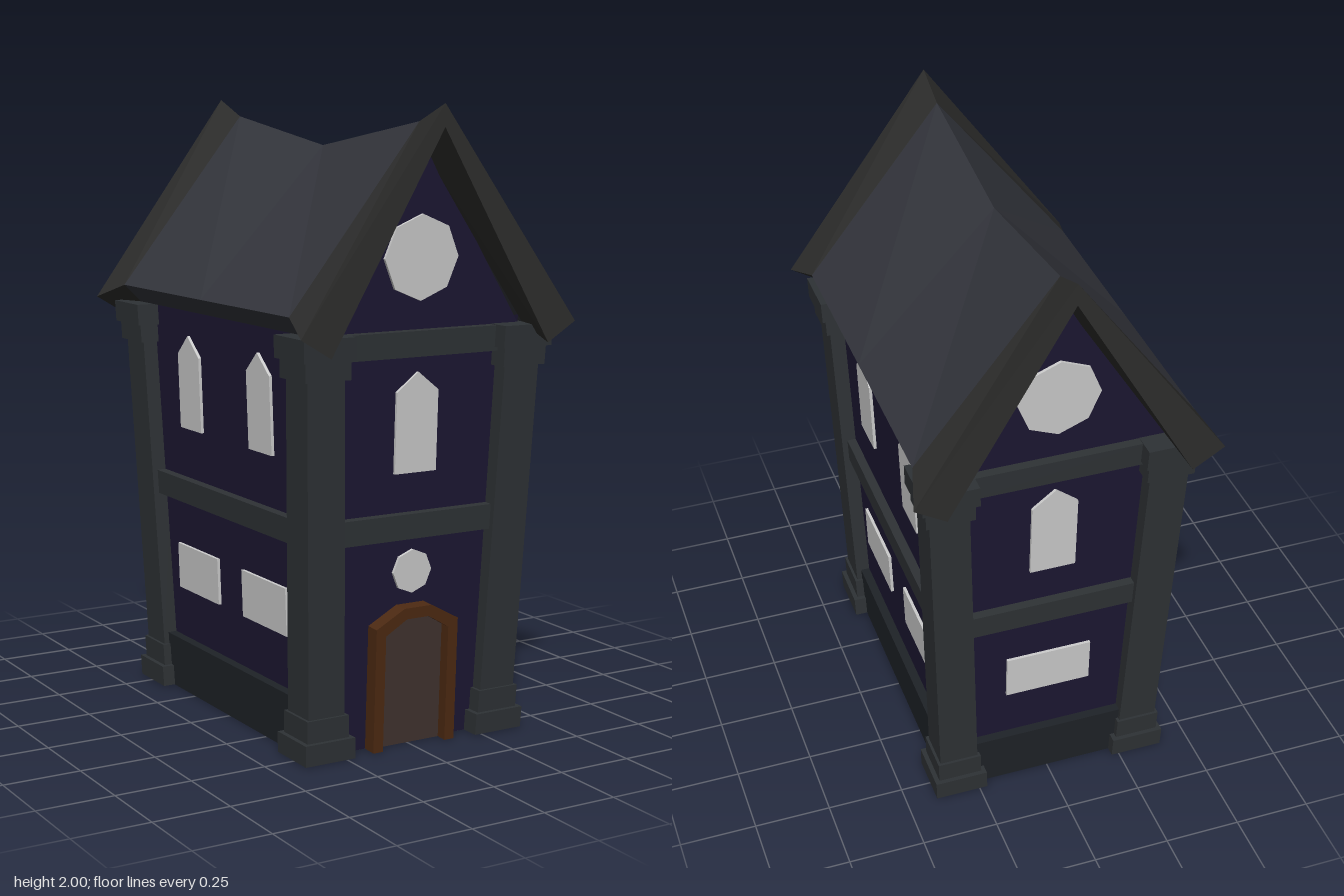
import * as THREE from 'three';

const mat = (color, side = THREE.FrontSide) =>
  new THREE.MeshStandardMaterial({ color, flatShading: true, side });
const M = {
  wall: mat(0x1c1732, THREE.DoubleSide), stone: mat(0x2e3235), skirt: mat(0x1e2227),
  tile: mat(0x34363d), trim: mat(0x2d2d2c), glass: mat(0xcccccc),
  door: mat(0x40332f), frame: mat(0x4d2a12), floor: mat(0x15171a, THREE.DoubleSide),
};
const H = 1.32; // eave height

function add(parent, name, geometry, material, x = 0, y = 0, z = 0) {
  const mesh = new THREE.Mesh(geometry, material);
  mesh.name = name;
  mesh.position.set(x, y, z);
  parent.add(mesh);
  return mesh;
}

// Moves every vertex of a geometry by a rule
function warp(geometry, rule) {
  const p = geometry.attributes.position;
  const v = new THREE.Vector3();
  for (let i = 0; i < p.count; i++) {
    rule(v.fromBufferAttribute(p, i));
    p.setXYZ(i, v.x, v.y, v.z);
  }
  geometry.computeVertexNormals();
  return geometry;
}

const outline = (pts) => new THREE.Shape(pts.map(([x, y]) => new THREE.Vector2(x, y)));
const slab = (shape, depth) => new THREE.ExtrudeGeometry(shape, { depth, bevelEnabled: false });

// Windows
const arch = (w, y0, y1, top) =>
  slab(outline([[-w, y0], [w, y0], [w, y1], [0, top], [-w, y1]]), 0.01);
const pane = (w, y0, y1) => slab(outline([[-w, y0], [w, y0], [w, y1], [-w, y1]]), 0.01);
const roundPane = (r, y) => slab(outline(Array.from({ length: 8 }, (_, i) =>
  [r * Math.cos(i * Math.PI / 4), y + r * Math.sin(i * Math.PI / 4)])), 0.01);

// A wall frame that faces outwards and leans out towards the top
function wallFrame(parent, name, angle, base, top) {
  const turn = new THREE.Group();
  turn.name = name;
  turn.rotation.y = angle;
  const lean = new THREE.Group();
  lean.name = name + 'Face';
  lean.position.z = base;
  lean.rotation.x = Math.atan((top - base) / H);
  turn.add(lean);
  parent.add(turn);
  return lean;
}

function beam(parent, name, width, y0, y1, material = M.stone) {
  add(parent, name, new THREE.BoxGeometry(width, y1 - y0, 0.06), material, 0, (y0 + y1) / 2, 0);
}

function gableWall(parent, name, angle) {
  const w = wallFrame(parent, name, angle, 0.515, 0.572);
  add(w, 'gablePanel', new THREE.ShapeGeometry(
    outline([[-0.325, 0], [0.325, 0], [0.37, H], [0, 1.9], [-0.37, H]])), M.wall);
  beam(w, 'middleBeam', 0.6, 0.67, 0.75);
  beam(w, 'topBeam', 0.6, 1.24, H);
  add(w, 'roundWindow', roundPane(0.132, 1.54), M.glass);
  add(w, 'archedWindow', arch(0.075, 0.875, 1.13, 1.19), M.glass);
  return w;
}

// Cross-section of the roof at each station: ridge, eave, and the same underneath
const stations = [
  { z: 0.71, apex: 2.0, tip: [0.49, 1.33], low: [0.388, 1.268], inner: 1.93 },
  { z: 0.57, apex: 1.945, tip: [0.45, 1.38], low: [0.388, 1.32], inner: 1.875 },
  { z: 0, apex: 1.86, tip: [0.45, 1.38], low: [0.388, 1.32], inner: 1.79 },
];

function roofSlab(parent, name, front, back, side, material) {
  add(parent, name, warp(new THREE.BoxGeometry(1, 1, 1), (v) => {
    const s = v.z > 0 ? front : back;
    const outer = v.y > 0;
    const eave = v.x * side > 0;
    const [x, y] = eave ? (outer ? s.tip : s.low) : [0, outer ? s.apex : s.inner];
    v.set(x * side, y, s.z);
  }), material);
}

export function createModel() {
  const house = new THREE.Group();
  house.name = 'house';

  // Front wall with door and small round window
  const front = gableWall(house, 'frontWall', 0);
  add(front, 'smallRoundWindow', roundPane(0.07, 0.56), M.glass);
  const inside = [[-0.115, 0], [0.115, 0], [0.115, 0.375], [0.04, 0.42], [-0.04, 0.42], [-0.115, 0.375]];
  add(front, 'door', slab(outline(inside), 0.012), M.door);
  const surround = outline([[-0.15, 0], [-0.115, 0], [-0.115, 0.375], [-0.04, 0.42], [0.04, 0.42],
    [0.115, 0.375], [0.115, 0], [0.15, 0], [0.15, 0.4], [0.05, 0.455], [-0.05, 0.455], [-0.15, 0.4]]);
  add(front, 'doorFrame', slab(surround, 0.08), M.frame, 0, 0, -0.03);

  // Back wall
  const back = gableWall(house, 'backWall', Math.PI);
  add(back, 'wideWindow', pane(0.143, 0.355, 0.51), M.glass);
  beam(back, 'skirting', 0.56, 0, 0.18, M.skirt);

  // Side walls
  for (const side of [-1, 1]) {
    const w = wallFrame(house, side > 0 ? 'leftWall' : 'rightWall', side * Math.PI / 2, 0.328, 0.372);
    add(w, 'sidePanel', new THREE.ShapeGeometry(
      outline([[-0.515, 0], [0.515, 0], [0.572, H + 0.04], [-0.572, H + 0.04]])), M.wall);
    beam(w, 'middleBeam', 0.98, 0.67, 0.75);
    beam(w, 'skirting', 0.92, 0, 0.18, M.skirt);
    for (const s of [-1, 1]) {
      add(w, 'archedWindow', arch(0.075, 0.92, 1.17, 1.235), M.glass, s * 0.239);
      add(w, 'wideWindow', pane(0.144, 0.355, 0.51), M.glass, s * 0.228);
    }
  }

  // Raised floor
  const floor = add(house, 'floor', new THREE.PlaneGeometry(0.66, 1.04), M.floor, 0, 0.17, 0);
  floor.rotation.x = Math.PI / 2;

  // Leaning corner pillars: [part, half width, bottom, top]
  const blocks = [
    ['plinth', 0.088, 0, 0.068], ['plinthStep', 0.073, 0.068, 0.14], ['shaft', 0.064, 0.14, 1.19],
    ['capitalStep', 0.078, 1.19, 1.25], ['capital', 0.09, 1.25, H],
  ];
  for (const sx of [-1, 1]) for (const sz of [-1, 1]) {
    const pillar = new THREE.Group();
    pillar.name = 'cornerPillar';
    house.add(pillar);
    for (const [name, half, y0, y1] of blocks) {
      const box = new THREE.BoxGeometry(half * 2, y1 - y0, half * 2).translate(0, (y0 + y1) / 2, 0);
      add(pillar, name, warp(box, (v) => {
        v.x += sx * (0.312 + 0.035 * v.y);
        v.z += sz * (0.491 + 0.055 * v.y);
      }), M.stone);
    }
  }

  // Sagging roof with flared ends
  const [end, near, mid] = stations;
  const flip = (s) => ({ ...s, z: -s.z });
  for (const side of [-1, 1]) {
    roofSlab(house, 'frontRoofFlare', end, near, side, M.trim);
    roofSlab(house, 'frontRoofSlope', near, mid, side, M.tile);
    roofSlab(house, 'backRoofSlope', mid, flip(near), side, M.tile);
    roofSlab(house, 'backRoofFlare', flip(near), flip(end), side, M.trim);
  }
  return house;
}
